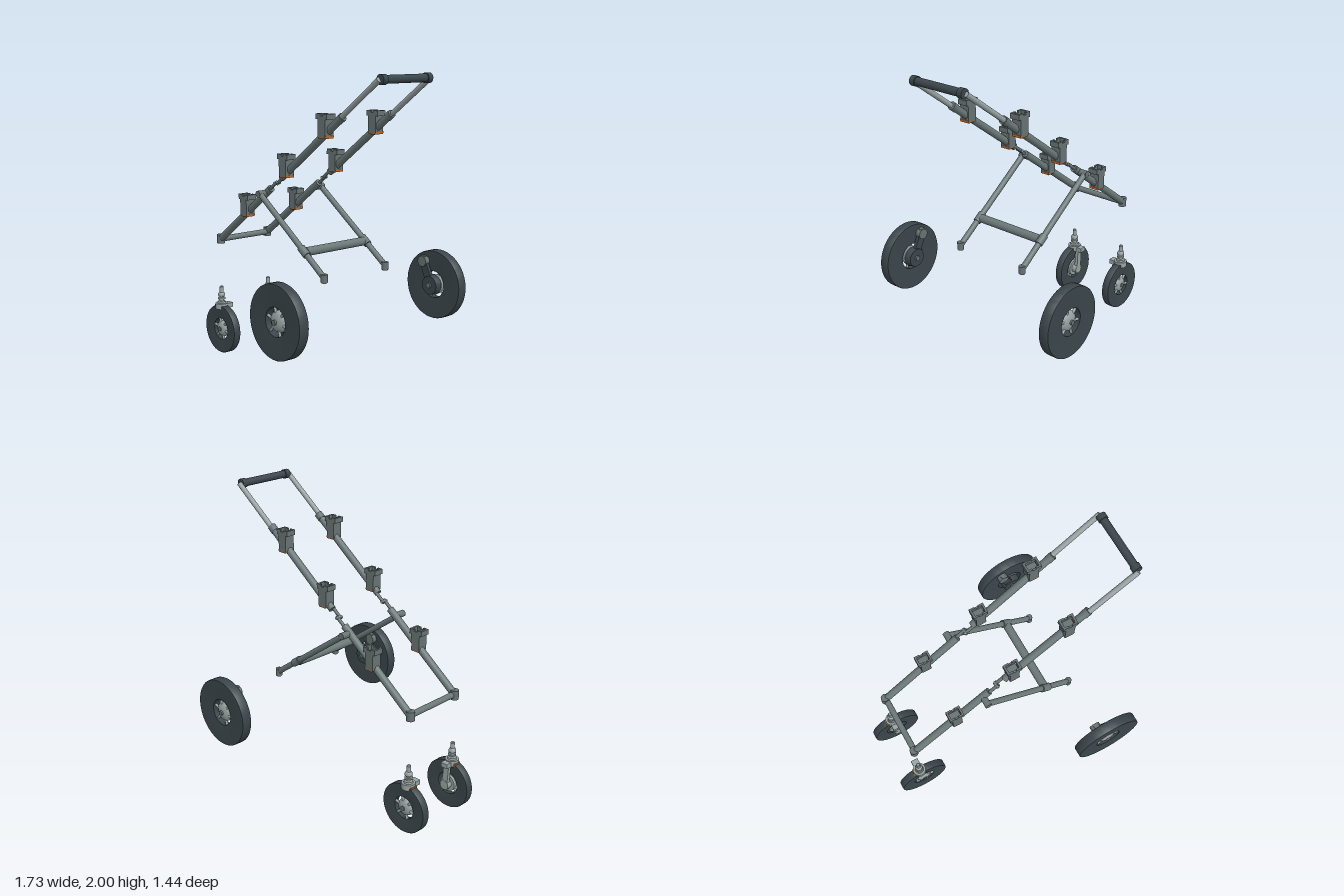
import * as THREE from 'three';
import { toCreasedNormals } from 'three/addons/utils/BufferGeometryUtils.js';

const V = (x, y, z) => new THREE.Vector3(x, y, z);
const paint = (name, color) => {
  const m = new THREE.MeshStandardMaterial({ color });
  m.name = name;
  return m;
};

export function createModel() {
  const frame = paint('frame grey', 0x6b7878);
  const light = paint('light metal', 0x98a3a3);
  const dark = paint('rubber', 0x3b464b);
  const plastic = paint('plastic grey', 0x687373);
  const accent = paint('orange accent', 0xb5652b);
  const model = new THREE.Group();
  model.name = 'pushchairFrame';

  const add = (parent, name, geo, mat, x = 0, y = 0, z = 0) => {
    const m = new THREE.Mesh(geo, mat);
    m.name = name;
    m.position.set(x, y, z);
    parent.add(m);
    return m;
  };
  const box = (parent, name, mat, w, h, d, x, y, z) =>
    add(parent, name, new THREE.BoxGeometry(w, h, d), mat, x, y, z);
  const rod = (parent, name, mat, a, b, r, r2 = r) => {
    const dir = b.clone().sub(a);
    const m = add(parent, name, new THREE.CylinderGeometry(r2, r, dir.length(), 24), mat);
    m.position.copy(a).add(b).multiplyScalar(0.5);
    m.quaternion.setFromUnitVectors(V(0, 1, 0), dir.normalize());
    return m;
  };
  const lathe = (pts, seg = 48) => toCreasedNormals(
    new THREE.LatheGeometry(pts.map(p => new THREE.Vector2(p[0], p[1])), seg), 0.6);
  // point on the sloping main rail
  const rail = (x, z) => V(x, 0.82 + (x + 0.715) * 0.745, z);

  // spoked wheel with its outer face towards side s
  function wheel(name, r, hole, width, x, y, z, s) {
    const g = new THREE.Group();
    g.name = name;
    g.position.set(x, y, z);
    g.rotation.x = s * Math.PI / 2;
    const h = width / 2, dish = h - 0.008;
    add(g, 'tyre', lathe([[hole, -dish], [r - 0.03, -h], [r - 0.002, -h], [r, -h + 0.003],
      [r, h - 0.003], [r - 0.002, h], [r - 0.03, h], [hole, dish], [hole, -dish]], 64), dark);
    const dome = hole * 0.74;
    add(g, 'hubDome', lathe([[0, -0.02], [dome, -0.02], [dome, 0.002], [dome * 0.9, 0.012],
      [dome * 0.65, 0.021], [dome * 0.25, 0.027], [0, 0.027]]), light);
    add(g, 'axleCap', new THREE.CylinderGeometry(0.016, 0.016, 0.012, 20), plastic, 0, h, 0);
    for (let i = 0; i < 6; i++) {
      const a = i * Math.PI / 3 + 0.25, c = Math.cos(a), n = Math.sin(a);
      rod(g, 'spoke', light, V(c * dome * 0.7, 0.008, n * dome * 0.7),
        V(c * (hole + 0.012), 0.008, n * (hole + 0.012)), 0.009);
    }
    model.add(g);
  }

  // open accessory socket clamped on the rail
  function socket(x, z) {
    const g = new THREE.Group();
    g.name = 'accessorySocket';
    g.position.set(x, rail(x, 0).y - 0.022, z);
    const t = 0.012, d = 0.07;
    const face = new THREE.Shape([[-0.033, 0], [0.033, 0], [0.033, 0.108], [0.049, 0.108],
      [0.049, 0.142], [0.012, 0.142], [0.012, 0.13], [-0.012, 0.13], [-0.012, 0.142],
      [-0.049, 0.142], [-0.049, 0.108], [-0.033, 0.108]].map(p => new THREE.Vector2(...p)));
    for (const zz of [-d / 2, d / 2 - t])
      add(g, 'socketFace', new THREE.ExtrudeGeometry(face, { depth: t, bevelEnabled: false }), plastic, 0, 0, zz);
    box(g, 'socketBody', plastic, 0.066, 0.11, d - 2 * t, 0, 0.055, 0);
    for (const s of [-1, 1]) box(g, 'socketLip', plastic, 0.014, 0.034, d - 2 * t, s * 0.042, 0.125, 0);
    box(g, 'socketPad', accent, 0.06, 0.008, d, 0.003, -0.003, 0);
    box(g, 'socketPadEdge', accent, 0.004, 0.01, d, 0.034, 0.005, 0);
    model.add(g);
  }

  for (const s of [1, -1]) {
    const z = s * 0.207;
    // sloping side rail in three sections
    rod(model, 'lowerRail', frame, rail(-0.715, z), rail(-0.15, z), 0.024);
    rod(model, 'upperRail', frame, rail(-0.04, z), rail(0.52, z), 0.024);
    rod(model, 'railCollar', plastic, rail(0.49, z), rail(0.525, z), 0.027);
    rod(model, 'handleTube', light, rail(0.5, s * 0.213), rail(0.83, s * 0.213), 0.017);
    rod(model, 'railEnd', plastic, V(-0.715, 0.79, z), V(-0.715, 0.852, z), 0.027);
    // folding joint between the two rails
    rod(model, 'foldLinkLower', plastic, rail(-0.16, s * 0.213), rail(-0.085, s * 0.213), 0.011);
    rod(model, 'foldLinkUpper', plastic, rail(-0.105, s * 0.195), rail(-0.03, s * 0.195), 0.011);
    rod(model, 'foldPin', light, rail(-0.095, s * 0.18), rail(-0.095, s * 0.228), 0.01);
    for (const x of [-0.4, 0.01, 0.38]) socket(x, s * 0.212);

    // rear leg with pivot, sleeve and foot
    const lz = s * 0.264, top = V(-0.195, 1.205, lz), foot = V(0.435, 0.755, lz);
    rod(model, 'rearLeg', frame, top, foot, 0.019);
    rod(model, 'legSleeve', frame, top.clone().lerp(foot, 0.65), top.clone().lerp(foot, 0.74), 0.026);
    rod(model, 'legPivot', plastic, V(-0.195, 1.205, s * 0.2), V(-0.195, 1.205, s * 0.284), 0.022);
    rod(model, 'legFoot', plastic, V(0.43, 0.732, lz), V(0.43, 0.782, lz), 0.022);
    rod(model, 'footPlug', accent, V(0.43, 0.727, lz), V(0.43, 0.733, lz), 0.018);

    // rear wheel with drum and brake arm on its inner side
    wheel('rearWheel', 0.23, 0.09, 0.068, 0.5, 0.58, s * 0.682, s);
    rod(model, 'brakeDrum', dark, V(0.5, 0.58, s * 0.655), V(0.5, 0.58, s * 0.612), 0.07, 0.062);
    rod(model, 'axleEnd', plastic, V(0.5, 0.58, s * 0.613), V(0.5, 0.58, s * 0.6), 0.018);
    const arm = box(model, 'brakeArm', dark, 0.055, 0.16, 0.024, 0.465, 0.655, s * 0.632);
    arm.rotation.z = 0.43;
    rod(model, 'brakeKnob', plastic, V(0.43, 0.732, s * 0.65), V(0.43, 0.732, s * 0.612), 0.036);
    rod(model, 'legSocket', plastic, V(0.43, 0.715, s * 0.63), V(0.43, 0.77, s * 0.63), 0.018);

    // front caster: wheel, one-sided fork, collar and ribbed stem
    wheel('frontWheel', 0.17, 0.077, 0.052, -0.7, 0.174, s * 0.213, s);
    const fork = box(model, 'casterFork', light, 0.042, 0.19, 0.024, -0.707, 0.24, s * 0.169);
    fork.rotation.z = 0.06;
    rod(model, 'forkHub', light, V(-0.7, 0.174, s * 0.156), V(-0.7, 0.174, s * 0.2), 0.034);
    rod(model, 'casterCollar', light, V(-0.715, 0.318, s * 0.21), V(-0.715, 0.358, s * 0.21), 0.045);
    box(model, 'collarTab', light, 0.05, 0.032, 0.07, -0.715, 0.335, s * 0.165);
    box(model, 'collarLatch', accent, 0.016, 0.02, 0.05, -0.755, 0.332, s * 0.21);
    add(model, 'casterStem', lathe([[0, 0.35], [0.032, 0.35], [0.028, 0.37], [0.017, 0.375],
      [0.017, 0.384], [0.026, 0.387], [0.026, 0.398], [0.017, 0.401], [0.017, 0.408],
      [0.025, 0.411], [0.025, 0.421], [0.02, 0.432], [0.014, 0.436], [0.014, 0.475],
      [0.01, 0.48], [0, 0.48]], 24), light, -0.715, 0, s * 0.21);
    // grip ends
    const e = rail(0.83, 0);
    rod(model, 'gripEnd', dark, V(e.x, e.y, s * 0.168), V(e.x, e.y, s * 0.205), 0.031);
  }

  // bars joining the two sides
  const grip = rail(0.83, 0);
  rod(model, 'handleGrip', dark, V(grip.x, grip.y, -0.19), V(grip.x, grip.y, 0.19), 0.025);
  rod(model, 'frontCrossbar', frame, V(-0.71, 0.82, -0.2), V(-0.71, 0.82, 0.2), 0.02);
  rod(model, 'rearCrossbar', frame, V(0.242, 0.89, -0.25), V(0.242, 0.89, 0.25), 0.028);
  return model;
}
